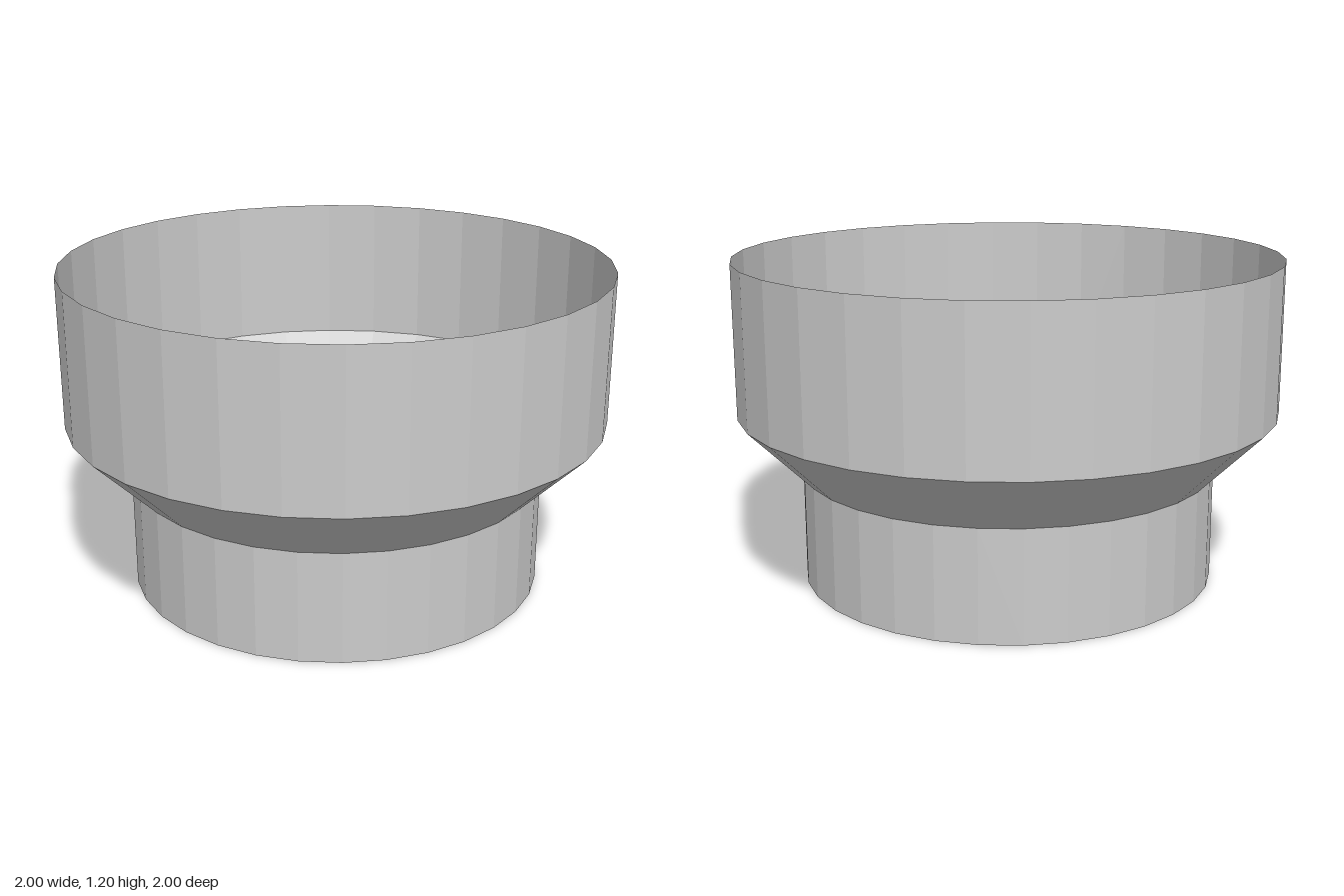
import * as THREE from 'three';

const SIDES = 32;

// Thin faceted sheet turned around the y axis from [radius, height] points
function turned(name, profile, material) {
  const points = profile.map(([r, y]) => new THREE.Vector2(r, y));
  const mesh = new THREE.Mesh(new THREE.LatheGeometry(points, SIDES), material);
  mesh.name = name;
  return mesh;
}

export function createModel() {
  const material = new THREE.MeshStandardMaterial({
    color: 0xcccccc, flatShading: true, side: THREE.DoubleSide,
  });
  const model = new THREE.Group();
  model.name = 'steppedCup';

  model.add(
    // Blind recess rising into the cup from below
    turned('recessCap', [[0, 0.16], [0.16, 0.16]], material),
    turned('recessWall', [[0.16, 0], [0.16, 0.16]], material),
    // Narrow foot
    turned('baseFloor', [[0.16, 0], [0.77, 0]], material),
    turned('baseWall', [[0.77, 0], [0.77, 0.41]], material),
    // Flare and wide open collar
    turned('flare', [[0.77, 0.41], [1, 0.64]], material),
    turned('collar', [[1, 0.64], [1, 1.2]], material),
  );
  return model;
}
